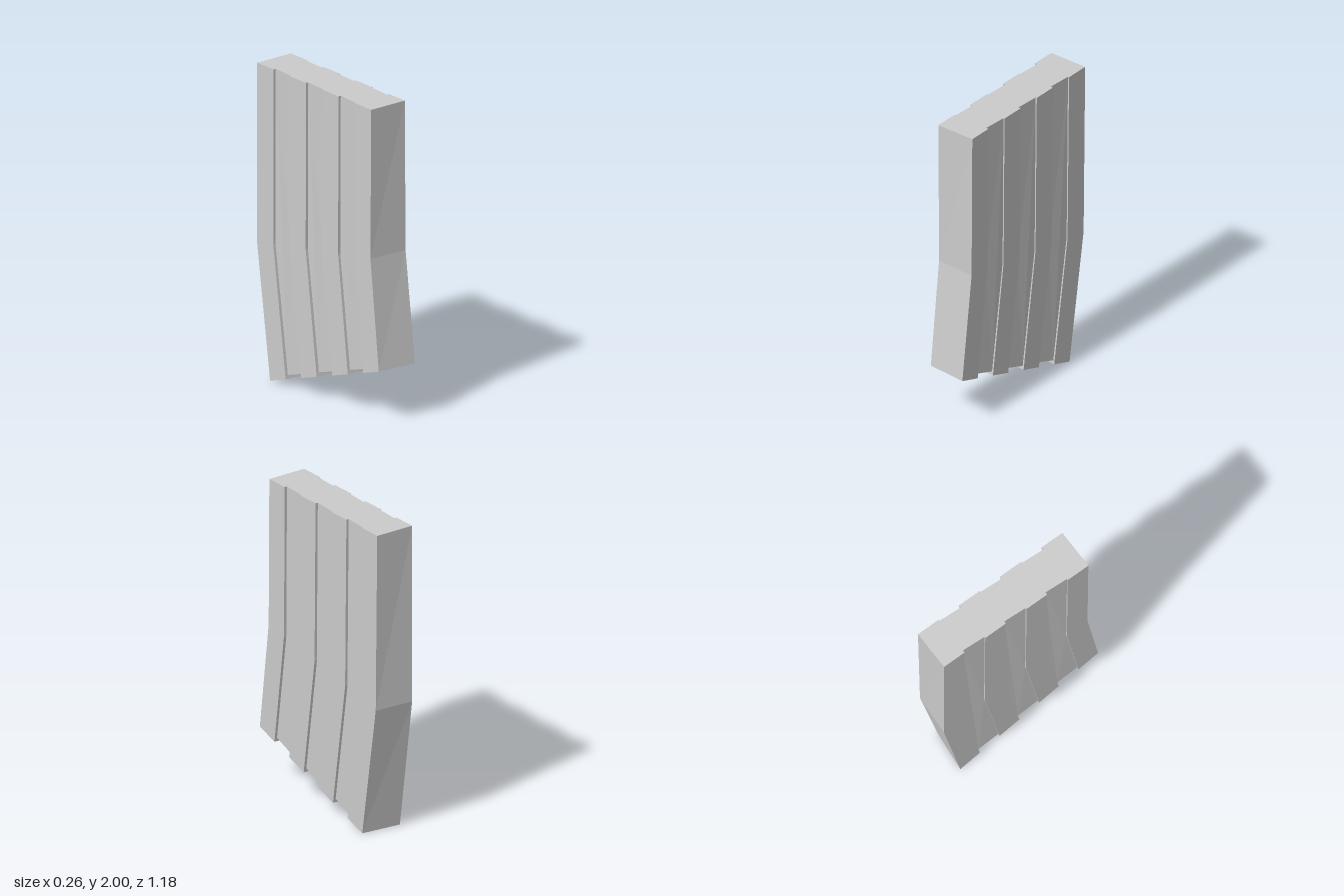
import * as THREE from 'three';

const BARS = 7;

// Point on the seam between bars at each level; i = 0 is the front, i = 7 the back
const topAt = (i) => [0.495 - 0.155 * i, 2];
const bendAt = (i) => [0.495 - 0.154 * i, 1.045 - 0.028 * i];
const bottomAt = (i) => [0.579 - 0.1475 * i, 0.345 - 0.0493 * i];

// One bent bar: side profile extruded across the width, then slightly twisted
function makeBar(i, width, lift, slant) {
  const levels = [topAt, bendAt, bottomAt];
  const front = levels.map((f) => f(i));
  const back = levels.map((f) => f(i + 1));
  front[2][1] += lift;
  back[2][1] += lift;

  const outline = [...front, ...back.reverse()].map(([z, y]) => new THREE.Vector2(z, y));
  const geometry = new THREE.ExtrudeGeometry(new THREE.Shape(outline), { depth: width, bevelEnabled: false });
  geometry.translate(0, 0, -width / 2);
  geometry.rotateY(-Math.PI / 2);

  const p = geometry.attributes.position;
  for (let k = 0; k < p.count; k++) {
    const x = p.getX(k), y = p.getY(k), z = p.getZ(k);
    const level = y > 1.5 ? topAt : y > 0.6 ? bendAt : bottomAt;
    const middle = level(i + 0.5)[0];
    // the sides of recessed bars lean a little; the twist grows towards the foot
    p.setX(k, x - slant * (z - middle));
    p.setZ(k, z + x * 0.053 * (2 - y));
  }
  geometry.computeVertexNormals();
  return geometry;
}

export function createModel() {
  const group = new THREE.Group();
  group.name = 'curvedRibbedCase';
  const material = new THREE.MeshStandardMaterial({ color: 0xcccccc, flatShading: true });

  // Full-width ribs alternate with narrower, slightly shorter recessed bars
  for (let i = 0; i < BARS; i++) {
    const recessed = i % 2 === 1;
    const geometry = recessed ? makeBar(i, 0.237, 0.025, 0.055) : makeBar(i, 0.262, 0, 0);
    const bar = new THREE.Mesh(geometry, material);
    bar.name = (recessed ? 'recessedBar' : 'rib') + (Math.floor(i / 2) + 1);
    group.add(bar);
  }
  return group;
}
